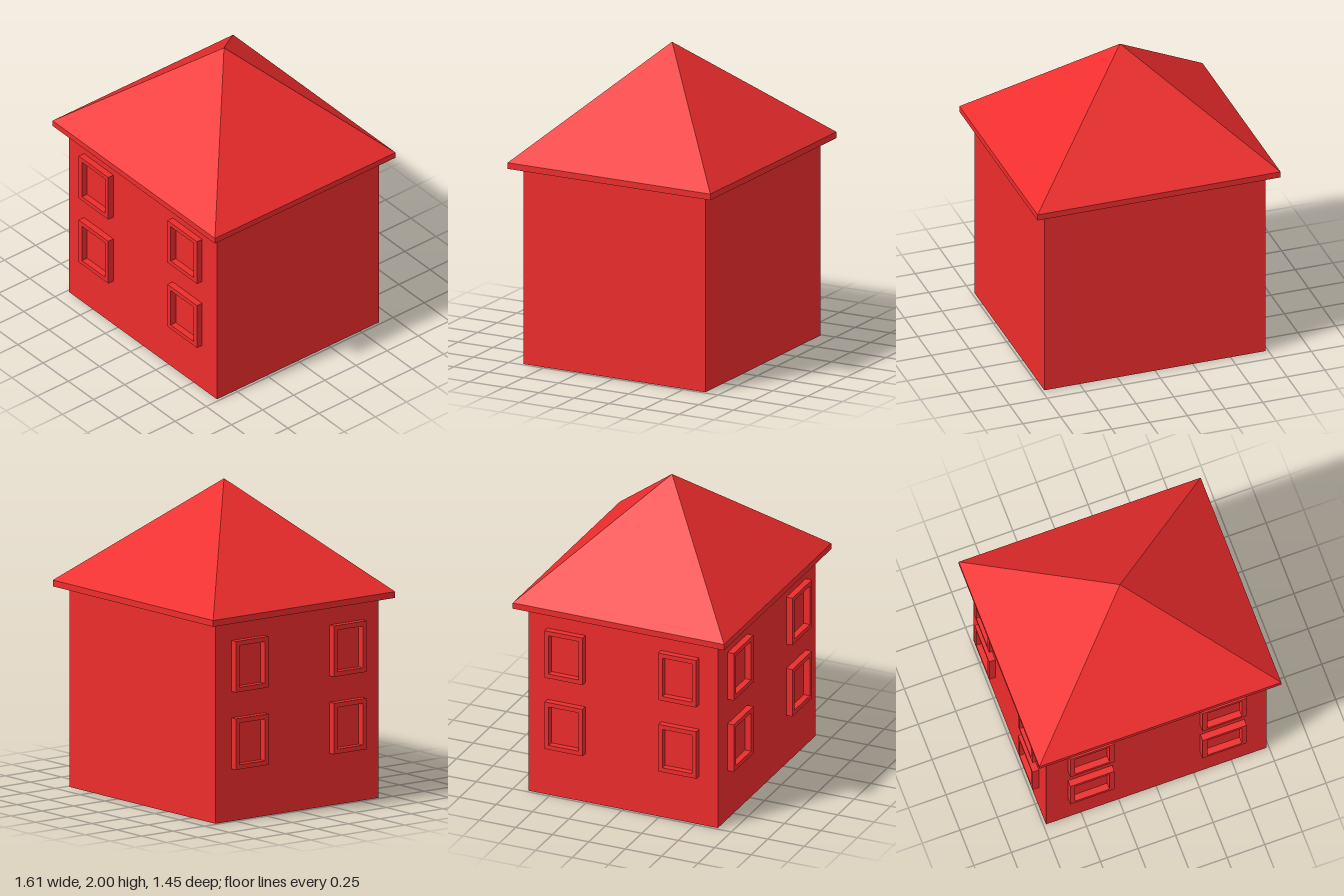
import * as THREE from 'three';

const W = 1.466, D = 1.3, EAVE = 1.275;            // wall width, depth, height
const ROOF_W = 1.61, ROOF_D = 1.45, SLAB = 0.04;   // roof overhang and slab thickness
const FRAME_DEPTH = 0.042;

// Rectangular frame with an open centre, extruded along +z
function frameGeometry(w, h, borderX, borderY) {
  const rect = (Type, x, y) => new Type([
    new THREE.Vector2(-x, -y), new THREE.Vector2(x, -y),
    new THREE.Vector2(x, y), new THREE.Vector2(-x, y),
  ]);
  const shape = rect(THREE.Shape, w / 2, h / 2);
  shape.holes.push(rect(THREE.Path, w / 2 - borderX, h / 2 - borderY));
  return new THREE.ExtrudeGeometry(shape, { depth: FRAME_DEPTH, bevelEnabled: false });
}

export function createModel() {
  const house = new THREE.Group();
  house.name = 'house';
  const red = new THREE.MeshStandardMaterial({ color: 0xee2c2c, flatShading: true });

  const add = (name, geometry, parent = house) => {
    const mesh = new THREE.Mesh(geometry, red);
    mesh.name = name;
    parent.add(mesh);
    return mesh;
  };

  // Walls
  add('walls', new THREE.BoxGeometry(W, EAVE, D)).position.y = EAVE / 2;

  // Roof: eave slab with a four-sided pyramid on top
  add('eaveSlab', new THREE.BoxGeometry(ROOF_W, SLAB, ROOF_D)).position.y = EAVE + SLAB / 2;
  const base = EAVE + SLAB, rise = 2 - base;
  const pyramid = new THREE.ConeGeometry(Math.SQRT1_2, rise, 4, 1, true)
    .rotateY(Math.PI / 4)
    .scale(ROOF_W, 1, ROOF_D);
  add('roof', pyramid).position.y = base + rise / 2;

  // Two-by-two window frames on one wall, stretched to that wall's width
  const addWindows = (name, wallWidth, distance, angle) => {
    const side = new THREE.Group();
    side.name = name;
    side.rotation.y = angle;
    const geometry = frameGeometry(0.2 * wallWidth, 0.325, 0.022 * wallWidth, 0.03);
    for (const y of [0.495, 0.988]) {
      for (const s of [-1, 1]) {
        add('windowFrame', geometry, side).position.set(s * 0.3 * wallWidth, y, distance);
      }
    }
    house.add(side);
  };
  addWindows('frontWindows', W, D / 2, 0);
  addWindows('rightWindows', D, W / 2, -Math.PI / 2);

  return house;
}
